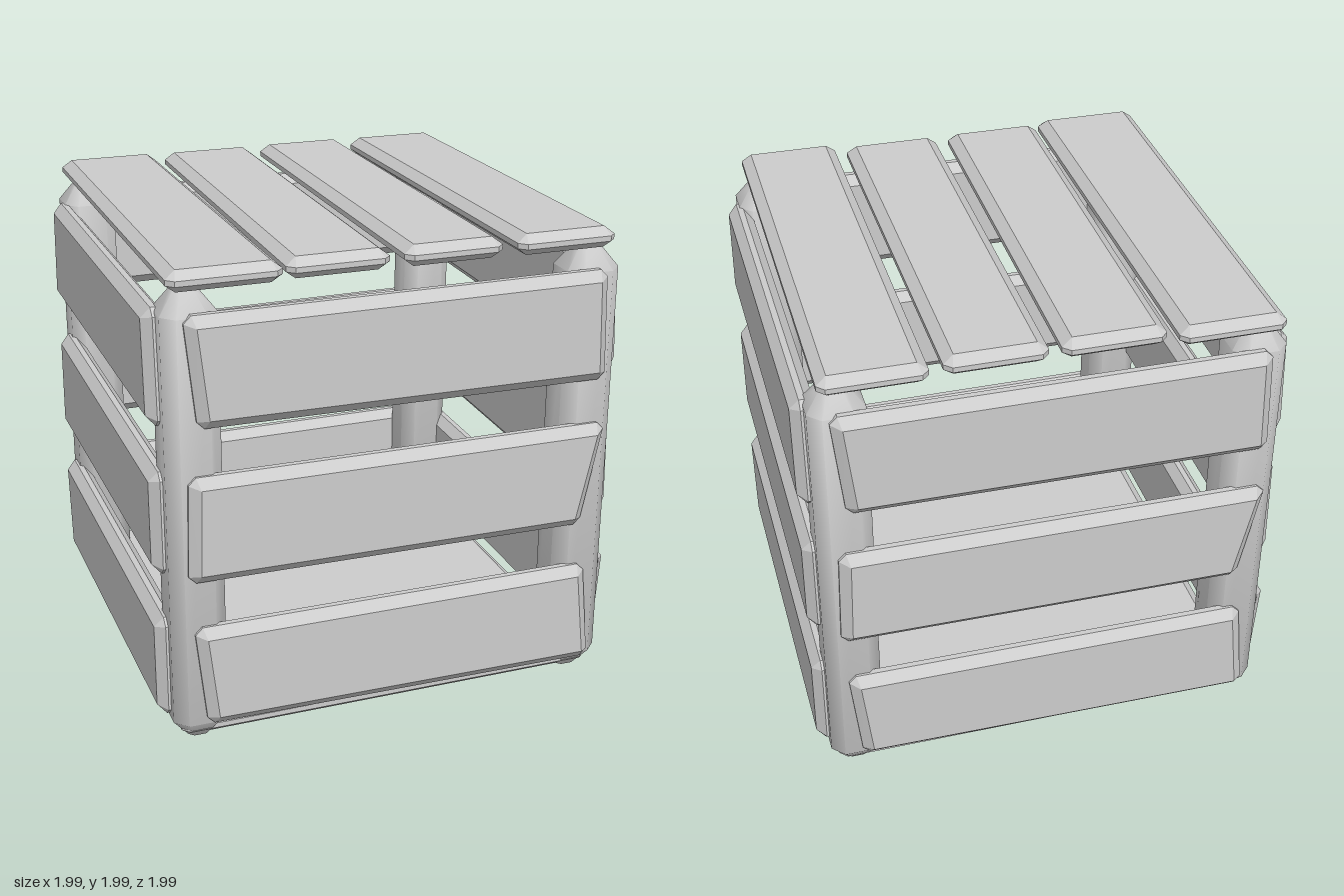
import * as THREE from 'three';
import { ConvexGeometry } from 'three/addons/geometries/ConvexGeometry.js';
import { toCreasedNormals } from 'three/addons/utils/BufferGeometryUtils.js';

const wood = new THREE.MeshStandardMaterial({ color: 0xcccccc });
wood.name = 'plain wood';

// Bevelled plank in the XY plane; corners run top left, top right, bottom right, bottom left
function plankGeometry(corners, thickness = 0.1, inset = 0.042) {
  const points = [];
  const cut = 0.03;
  const half = thickness / 2;
  corners.forEach(([x, y], i) => {
    const sx = i === 0 || i === 3 ? 1 : -1;
    const sy = i < 2 ? -1 : 1;
    for (const side of [-1, 1]) {
      points.push(new THREE.Vector3(x + sx * inset, y + sy * inset, side * half));
      points.push(new THREE.Vector3(x + sx * cut, y, side * half * 0.25));
      points.push(new THREE.Vector3(x, y + sy * cut, side * half * 0.25));
    }
  });
  return new ConvexGeometry(points);
}

// Corner post: chamfered square section, tapered at both ends
function postGeometry() {
  const points = [];
  for (const [y, r] of [[0, 0.045], [0.09, 0.113], [1.81, 0.113], [1.9, 0.045]]) {
    const c = r * 0.55;
    for (const a of [-1, 1]) for (const b of [-1, 1]) {
      points.push(new THREE.Vector3(a * r, y, b * c), new THREE.Vector3(a * c, y, b * r));
    }
  }
  return toCreasedNormals(new ConvexGeometry(points), 0.85);
}

function addMesh(parent, name, geometry) {
  const mesh = new THREE.Mesh(geometry, wood);
  mesh.name = name;
  parent.add(mesh);
  return mesh;
}

export function createModel() {
  const crate = new THREE.Group();
  crate.name = 'crate';

  // Corner posts
  const post = postGeometry();
  for (const x of [-1, 1]) for (const z of [-1, 1]) {
    addMesh(crate, 'cornerPost', post).position.set(x * 0.832, 0, z * 0.832);
  }

  // Wall planks, slightly crooked; each pair of opposite walls shares its planks
  const frontPlanks = [
    [[-0.87, 1.825], [0.865, 1.825], [0.88, 1.36], [-0.83, 1.375]],
    [[-0.87, 1.18], [0.89, 1.17], [0.81, 0.72], [-0.88, 0.735]],
    [[-0.86, 0.535], [0.84, 0.53], [0.88, 0.08], [-0.82, 0.095]],
  ];
  const sidePlanks = [
    [[-0.84, 1.81], [0.84, 1.825], [0.86, 1.36], [-0.87, 1.355]],
    [[-0.85, 1.18], [0.86, 1.17], [0.86, 0.735], [-0.865, 0.715]],
    [[-0.88, 0.525], [0.86, 0.54], [0.86, 0.1], [-0.84, 0.08]],
  ];
  ['frontWall', 'rightViewWall', 'backWall', 'oppositeWall'].forEach((name, i) => {
    const wall = new THREE.Group();
    wall.name = name;
    wall.rotation.y = i * Math.PI / 2;
    for (const corners of i % 2 ? sidePlanks : frontPlanks) {
      addMesh(wall, 'wallPlank', plankGeometry(corners)).position.z = 0.943;
    }
    crate.add(wall);
  });

  // Top slats, with a little tilt
  const slats = [
    [[-0.915, 0.965], [-0.48, 0.965], [-0.475, -0.95], [-0.925, -0.95]],
    [[-0.44, 0.935], [-0.025, 0.935], [-0.04, -0.925], [-0.455, -0.925]],
    [[0.025, 0.935], [0.43, 0.935], [0.43, -0.925], [0.02, -0.925]],
    [[0.485, 0.945], [0.905, 0.945], [0.9, -0.955], [0.48, -0.955]],
  ];
  const tilts = [-0.008, -0.004, -0.002, -0.008];
  slats.forEach((corners, i) => {
    const slat = addMesh(crate, 'topSlat', plankGeometry(corners, 0.086));
    slat.rotation.x = -Math.PI / 2 + tilts[i];
    slat.position.y = 1.94;
  });

  // Floor panel
  const floor = addMesh(crate, 'floorPanel',
    plankGeometry([[-0.91, 0.91], [0.91, 0.91], [0.91, -0.91], [-0.91, -0.91]], 0.085, 0.04));
  floor.rotation.x = -Math.PI / 2;
  floor.position.y = 0.05;

  return crate;
}
